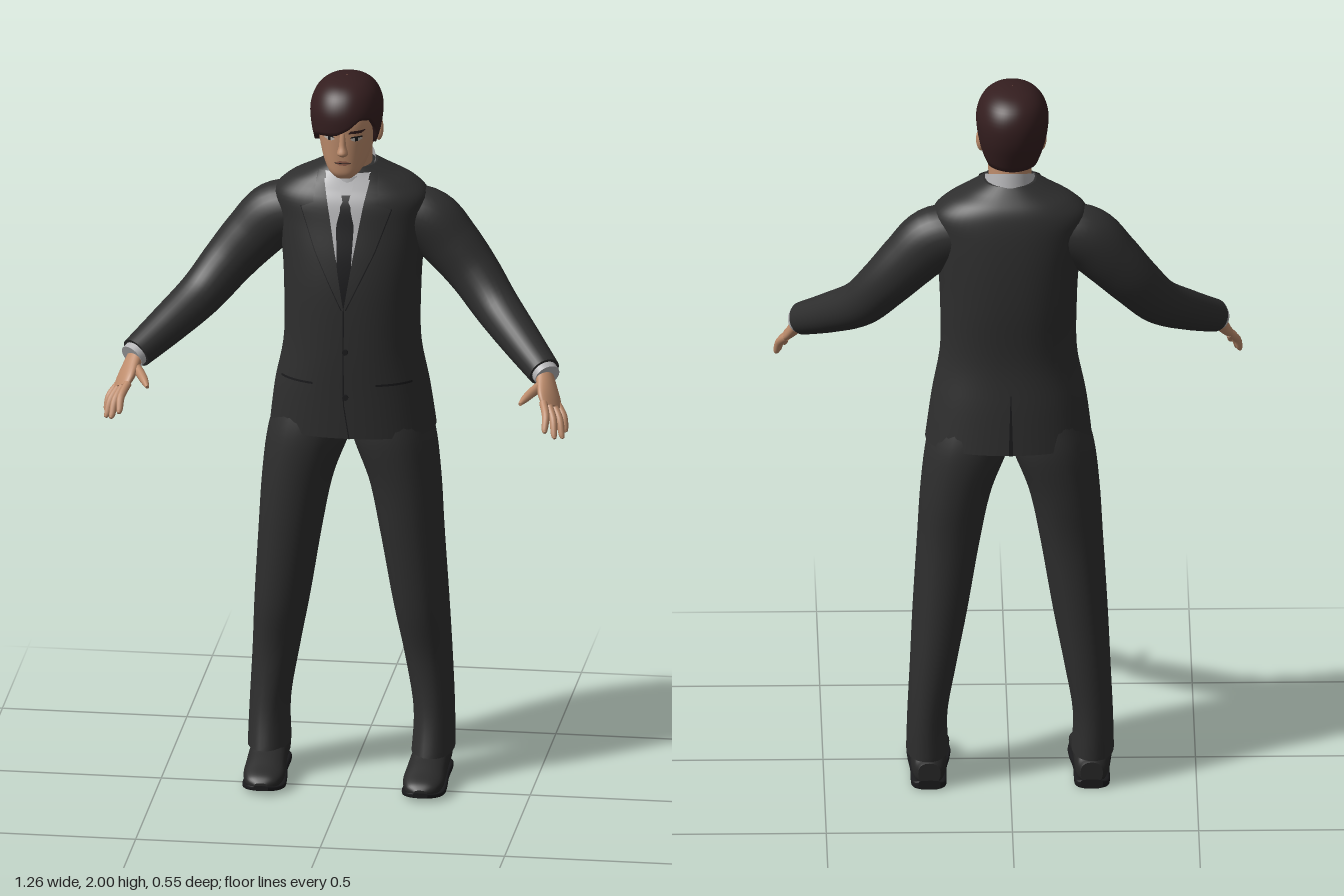
import * as THREE from 'three';

const V = (x, y, z) => new THREE.Vector3(x, y, z);
const Y = V(0, 1, 0), Z = V(0, 0, 1);
const paint = (name, color) => new THREE.MeshStandardMaterial({ name, color, side: THREE.DoubleSide });

// Smooth grid of points f(i, j); i runs around or across, j runs along
function grid(nu, nj, f, closed) {
  const pos = [], idx = [], w = closed ? nu : nu + 1;
  for (let j = 0; j <= nj; j++) for (let i = 0; i < w; i++) pos.push(...f(i, j));
  for (let j = 0; j < nj; j++) for (let i = 0; i < nu; i++) {
    const a = j * w + i, b = j * w + (i + 1) % w;
    idx.push(a, b, b + w, a, b + w, a + w);
  }
  const g = new THREE.BufferGeometry();
  g.setAttribute('position', new THREE.Float32BufferAttribute(pos, 3));
  g.setIndex(idx);
  g.computeVertexNormals();
  return g;
}

// Catmull-Rom interpolation of every column of a section table
function sample(rows, t) {
  const n = rows.length, p = Math.min(Math.max(t, 0), 1) * (n - 1), i = Math.min(Math.floor(p), n - 2), f = p - i;
  const [a, b, c, d] = [-1, 0, 1, 2].map(k => rows[Math.min(Math.max(i + k, 0), n - 1)]);
  return b.map((_, k) => b[k] + 0.5 * f * (c[k] - a[k] + f * (2 * a[k] - 5 * b[k] + 4 * c[k] - d[k] + f * (3 * (b[k] - c[k]) + d[k] - a[k]))));
}

// Piecewise linear lookup in a table sorted by its first column
function lookup(table, x) {
  let i = 0;
  while (i < table.length - 2 && x > table[i + 1][0]) i++;
  const f = (x - table[i][0]) / (table[i + 1][0] - table[i][0]);
  return table[i].map((v, k) => v + (table[i + 1][k] - v) * f);
}

const power = (c, n) => Math.sign(c) * Math.abs(c) ** (2 / n);

// Capped loft through sections [x, y, z, radius across, radius along ref]
function loft(rows, { axis, ref = Z, n = 2, around = 28, steps = 36 } = {}) {
  return grid(around, steps + 4, (i, j) => {
    const t = Math.min(Math.max(j - 2, 0), steps) / steps, k = j === 0 || j === steps + 4 ? 0 : 1;
    const s = sample(rows, t), e = 0.01;
    const T = axis ? axis.clone() : V(...sample(rows, t + e)).sub(V(...sample(rows, t - e))).normalize();
    const N = ref.clone().addScaledVector(T, -ref.dot(T)).normalize(), B = T.clone().cross(N);
    const a = i / around * Math.PI * 2;
    return V(s[0], s[1], s[2]).addScaledVector(B, k * s[3] * power(Math.sin(a), n))
      .addScaledVector(N, k * s[4] * power(Math.cos(a), n)).toArray();
  }, true);
}

function paramAtY(rows, y) {
  let lo = 0, hi = 1;
  for (let k = 0; k < 24; k++) { const m = (lo + hi) / 2; if (sample(rows, m)[1] < y) lo = m; else hi = m; }
  return lo;
}

// Front (side 1) or back (side -1) surface depth of an upright loft
const surface = (rows, n) => (x, y, side = 1) => {
  const s = sample(rows, paramAtY(rows, y));
  return s[2] + side * s[4] * Math.max(1 - Math.abs((x - s[0]) / s[3]) ** n, 0) ** (1 / n);
};

// Thin patch lying on a surface, rows [y, x from, x to] from bottom to top
function patch(rows, surf, off, side = 1) {
  return grid(8, 24, (i, j) => {
    const y = rows[0][0] + (rows[rows.length - 1][0] - rows[0][0]) * j / 24;
    const r = lookup(rows, y), lo = Math.min(r[1], r[2]), hi = Math.max(r[1], r[2]);
    const x = side > 0 ? lo + (hi - lo) * i / 8 : hi - (hi - lo) * i / 8;
    return [x, y, surf(x, y, side) + side * off];
  });
}

const flipX = (rows, s) => rows.map(([x, ...r]) => [x * s, ...r]);
const flipPatch = (rows, s) => rows.map(([y, a, b]) => [y, a * s, b * s]);

// Section tables
const TORSO = [[0.004, 1.0, -0.12, 0.224, 0.15], [0.003, 1.12, -0.113, 0.208, 0.148], [0.004, 1.25, -0.105, 0.184, 0.145],
  [0.004, 1.4, -0.109, 0.184, 0.149], [0.004, 1.5, -0.114, 0.19, 0.144], [0.002, 1.59, -0.12, 0.2, 0.132],
  [0, 1.655, -0.122, 0.208, 0.12], [0, 1.695, -0.124, 0.172, 0.104], [0, 1.725, -0.118, 0.115, 0.085], [0, 1.748, -0.112, 0.072, 0.07]];
const HEAD = [[-0.004, 1.736, 0, 0.022, 0.018], [-0.004, 1.752, -0.013, 0.042, 0.04], [-0.004, 1.78, -0.035, 0.058, 0.065],
  [-0.004, 1.82, -0.058, 0.071, 0.091], [-0.004, 1.86, -0.067, 0.078, 0.102], [-0.004, 1.9, -0.072, 0.079, 0.107],
  [-0.004, 1.95, -0.073, 0.066, 0.092], [-0.004, 1.985, -0.075, 0.03, 0.05]];
const HAIR = [[-0.006, 1.77, -0.07, 0.07, 0.09], [-0.006, 1.82, -0.07, 0.084, 0.112], [-0.007, 1.87, -0.074, 0.094, 0.125],
  [-0.007, 1.92, -0.075, 0.097, 0.127], [-0.007, 1.96, -0.076, 0.084, 0.112], [-0.007, 1.985, -0.075, 0.06, 0.082],
  [-0.007, 1.997, -0.074, 0.03, 0.04], [-0.007, 2.0, -0.073, 0.001, 0.001]];
// Hairline height by angle: fringe swept to the right, cut round the ears, low nape
const HAIRLINE = [[-3.15, 1.785], [-2.2, 1.79], [-1.95, 1.82], [-1.72, 1.868], [-1.5, 1.85], [-1.3, 1.825], [-1.05, 1.85], [-0.7, 1.86],
  [-0.1, 1.868], [0.2, 1.885], [0.5, 1.91], [0.85, 1.905], [1.15, 1.87], [1.3, 1.825], [1.5, 1.85], [1.72, 1.868], [1.95, 1.82], [2.2, 1.79], [3.15, 1.785]];
const LEG = [[0.222, 0.085, -0.115, 0.057, 0.106], [0.222, 0.2, -0.13, 0.054, 0.096], [0.206, 0.35, -0.135, 0.063, 0.096],
  [0.188, 0.5, -0.123, 0.074, 0.108], [0.165, 0.7, -0.115, 0.085, 0.116], [0.145, 0.85, -0.118, 0.096, 0.127],
  [0.114, 0.98, -0.12, 0.112, 0.135], [0.1, 1.06, -0.12, 0.1, 0.125]];
const SLEEVE = [[0.13, 1.6, -0.13, 0.075, 0.08], [0.205, 1.578, -0.13, 0.087, 0.08], [0.27, 1.515, -0.125, 0.08, 0.073], [0.335, 1.44, -0.108, 0.071, 0.066],
  [0.4, 1.363, -0.065, 0.063, 0.062], [0.478, 1.3, 0.02, 0.054, 0.056], [0.553, 1.245, 0.107, 0.044, 0.046]];

export function createModel() {
  const model = new THREE.Group();
  model.name = 'manInSuit';
  const suit = paint('suit charcoal', 0x2e2e2e), dark = paint('tie and seam black', 0x1a1a1c), shoe = paint('shoe black', 0x282828),
    shirt = paint('shirt grey', 0xb4b4b6), skin = paint('skin', 0xbd8c6c), hair = paint('hair brown', 0x341e1f),
    lip = paint('lips', 0x94604e), eyeWhite = paint('eye white', 0xb9b0a8);
  const add = (name, geo, mat) => {
    const m = new THREE.Mesh(geo, mat);
    m.name = name;
    model.add(m);
    return m;
  };
  const chest = surface(TORSO, 2.3), face = surface(HEAD, 2.2);

  // Jacket, shirt front and tie
  add('jacket', loft(TORSO, { axis: Y, n: 2.3, around: 48, steps: 48 }), suit);
  add('shirtFront', patch([[1.4, 0, 0], [1.6, -0.042, 0.042], [1.735, -0.062, 0.062]], chest, 0.003), shirt);
  add('tie', patch([[1.375, -0.003, 0.003], [1.42, -0.016, 0.016], [1.6, -0.024, 0.024], [1.645, -0.013, 0.013], [1.68, -0.02, 0.02]], chest, 0.007), dark);
  add('frontSeam', patch([[1.0, 0.012, 0.015], [1.1, -0.003, 0], [1.38, -0.002, 0.001]], chest, 0.003), dark);
  add('backVent', patch([[1.0, -0.006, 0.006], [1.17, -0.001, 0.001]], chest, 0.003, -1), dark);
  for (const y of [1.12, 1.25]) {
    const b = add('button', new THREE.CylinderGeometry(0.008, 0.008, 0.008, 16).rotateX(Math.PI / 2), dark);
    b.position.set(0.004, y, chest(0.004, y) + 0.002);
  }

  // Shirt collar band, higher at the nape
  add('collarBand', grid(32, 3, (i, j) => {
    const a = i / 32 * Math.PI * 2, h = j / 3;
    return [(0.074 - 0.008 * h) * Math.sin(a), 1.695 + 0.06 * h - 0.03 * Math.cos(a), -0.102 + (0.086 - 0.01 * h) * Math.cos(a)];
  }, true), shirt);

  // Neck, head and face
  add('neck', loft([[0, 1.66, -0.108, 0.064, 0.066], [0, 1.74, -0.1, 0.058, 0.066], [0, 1.82, -0.092, 0.06, 0.07]], { axis: Y }), skin);
  add('head', loft(HEAD, { axis: Y, n: 2.2, around: 40 }), skin);
  add('nose', loft([[-0.004, 1.803, 0.028, 0.008, 0.008], [-0.004, 1.813, 0.033, 0.015, 0.018], [-0.004, 1.835, 0.031, 0.01, 0.012],
    [-0.004, 1.87, 0.028, 0.009, 0.009]], { axis: Y, around: 16, steps: 14 }), skin);
  add('lips', patch([[1.778, -0.012, 0.004], [1.784, -0.028, 0.02], [1.791, -0.012, 0.004]], face, 0.003), lip);
  add('mouthLine', patch([[1.7835, -0.026, 0.018], [1.7855, -0.026, 0.018]], face, 0.004), dark);
  for (const s of [1, -1]) {
    const at = rows => flipPatch(rows, s).map(([y, a, b]) => [y, a - 0.004, b - 0.004]);
    add('eyeWhite', patch(at([[1.848, 0.03, 0.042], [1.853, 0.021, 0.053], [1.859, 0.028, 0.046]]), face, 0.002), eyeWhite);
    add('iris', patch(at([[1.848, 0.033, 0.041], [1.859, 0.033, 0.041]]), face, 0.003), dark);
    add('upperLid', patch(at([[1.858, 0.02, 0.054], [1.862, 0.026, 0.05]]), face, 0.004), dark);
    add('eyebrow', patch(at([[1.87, 0.016, 0.05], [1.878, 0.022, 0.06]]), face, 0.004), hair);
    const ear = add('ear', new THREE.SphereGeometry(1, 16, 12), skin);
    ear.scale.set(0.012, 0.032, 0.02);
    ear.position.set(-0.004 + s * 0.082, 1.847, -0.088);
    ear.rotation.set(-0.2, s * 0.3, 0);
  }

  // Hair cap with an inward-turned lower edge
  add('hair', grid(72, 26, (i, j) => {
    const a = i / 72 * Math.PI * 2 - Math.PI, y = lookup(HAIRLINE, a)[1], t0 = paramAtY(HAIR, y);
    const s = sample(HAIR, t0 + (1 - t0) * Math.max(j - 1, 0) / 25), k = j === 0 ? 0.78 : 1;
    return [s[0] + k * s[3] * power(Math.sin(a), 2.15), s[1], s[2] + k * s[4] * power(Math.cos(a), 2.15)];
  }, true), hair);

  for (const s of [1, -1]) {
    const side = s > 0 ? 'left' : 'right';
    // Lapels, collar wings and pocket flaps
    const lapel = [[1.37, 0, 0.004], [1.53, 0.026, 0.08], [1.645, 0.046, 0.122], [1.655, 0.047, 0.09], [1.735, 0.06, 0.082]];
    add(side + 'Lapel', patch(flipPatch(lapel, s), chest, 0.009), suit);
    add(side + 'LapelEdge', patch(flipPatch(lapel.slice(0, 3).map(([y, , b]) => [y, b - 0.002, b + 0.003]), s), chest, 0.007), dark);
    add(side + 'CollarWing', patch(flipPatch([[1.61, 0.036, 0.039], [1.665, 0.008, 0.05], [1.72, 0.022, 0.062]], s), chest, 0.012), shirt);
    add(side + 'PocketFlap', patch(flipPatch([[1.125, 0.09, 0.178], [1.155, 0.088, 0.176]], s), chest, 0.006), suit);
    add(side + 'PocketSeam', patch(flipPatch([[1.153, 0.086, 0.178], [1.159, 0.086, 0.178]], s), chest, 0.007), dark);

    // Sleeve, cuff and hand
    add(side + 'Sleeve', loft(flipX(SLEEVE, s)), suit);
    add(side + 'Cuff', loft(flipX([[0.545, 1.251, 0.097, 0.036, 0.039], [0.563, 1.237, 0.119, 0.035, 0.038]], s), { steps: 2 }), shirt);
    const spread = V(s * 0.5, -0.3, -0.75).normalize();
    add(side + 'Palm', loft(flipX([[0.548, 1.248, 0.1, 0.022, 0.026], [0.56, 1.225, 0.127, 0.02, 0.032],
      [0.574, 1.193, 0.163, 0.017, 0.041], [0.584, 1.172, 0.187, 0.011, 0.036]], s), { ref: spread, steps: 16 }), skin);
    const tips = [[0.578, 1.13, 0.275], [0.602, 1.108, 0.255], [0.62, 1.1, 0.226], [0.625, 1.108, 0.195]];
    tips.forEach((tip, k) => {
      const base = V(s * 0.579, 1.18, 0.178).addScaledVector(spread, -0.03 + k * 0.02);
      const end = V(s * tip[0], tip[1], tip[2]), mid = base.clone().lerp(end, 0.5).add(V(s * 0.005, 0.006, 0.003));
      const rows = [[base, 0.011], [mid, 0.0105], [base.clone().lerp(end, 0.88), 0.0085], [end, 0.004]].map(([p, r]) => [p.x, p.y, p.z, r, r]);
      add(side + 'Finger', loft(rows, { ref: spread, around: 12, steps: 12 }), skin);
    });
    add(side + 'Thumb', loft(flipX([[0.56, 1.222, 0.13, 0.014, 0.016], [0.535, 1.212, 0.17, 0.013, 0.014],
      [0.517, 1.203, 0.208, 0.011, 0.011], [0.505, 1.195, 0.238, 0.005, 0.005]], s), { ref: Y, around: 12, steps: 12 }), skin);

    // Trouser leg
    add(side + 'TrouserLeg', loft(flipX(LEG, s), { axis: Y, n: 2.2 }), suit);

    // Shoe upper and sole
    add(side + 'Shoe', loft(flipX([[0.218, 0.045, -0.208, 0.03, 0.03], [0.219, 0.056, -0.185, 0.045, 0.046], [0.219, 0.062, -0.09, 0.05, 0.05],
      [0.217, 0.047, -0.01, 0.054, 0.039], [0.216, 0.037, 0.045, 0.055, 0.028], [0.216, 0.03, 0.085, 0.042, 0.019],
      [0.216, 0.026, 0.102, 0.018, 0.008]], s), { axis: Z, ref: Y, n: 2.4 }), shoe);
    add(side + 'Sole', loft(flipX([[0.218, 0.014, -0.212, 0.03, 0.013], [0.219, 0.012, -0.19, 0.047, 0.012], [0.219, 0.012, -0.09, 0.049, 0.012],
      [0.217, 0.011, -0.01, 0.057, 0.01], [0.216, 0.011, 0.045, 0.058, 0.009], [0.216, 0.016, 0.085, 0.045, 0.008],
      [0.216, 0.02, 0.105, 0.02, 0.007]], s), { axis: Z, ref: Y, n: 4 }), dark);
  }
  return model;
}
